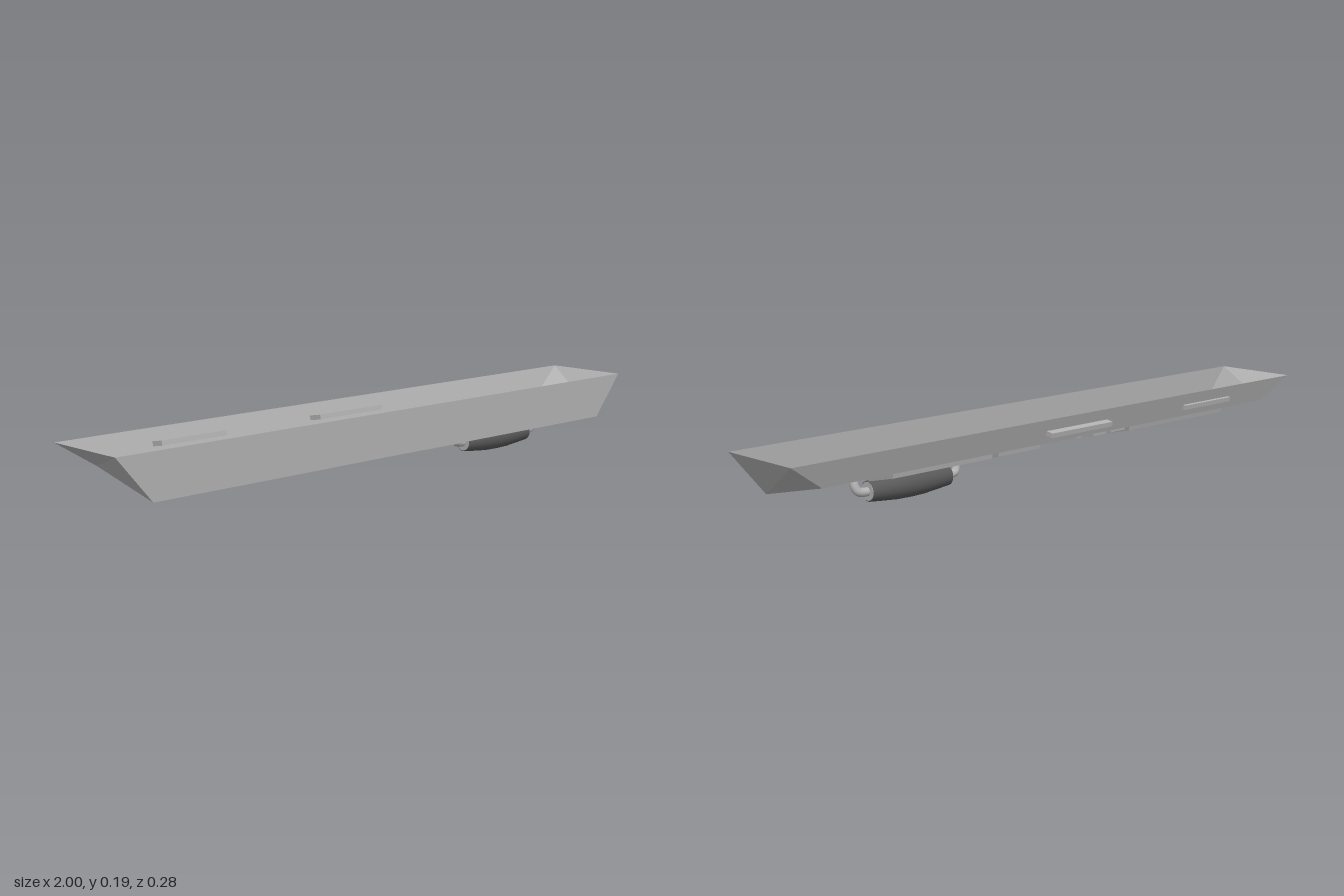
import * as THREE from 'three';

const shellGrey = new THREE.MeshStandardMaterial({ color: 0xb2b2b2, side: THREE.DoubleSide });
shellGrey.name = 'shell grey';
const rollerGrey = new THREE.MeshStandardMaterial({ color: 0x5a5a5a });
rollerGrey.name = 'dark roller grey';

// Height of the sloping floor at depth z
const floorY = z => 0.065 + (0.14 - z) * (0.057 / 0.245);

function addMesh(parent, name, geometry, material = shellGrey) {
  const mesh = new THREE.Mesh(geometry, material);
  mesh.name = name;
  parent.add(mesh);
  return mesh;
}

// Flat-shaded faces from a list of four-cornered polygons
function quads(list) {
  const pos = [];
  for (const [a, b, c, d] of list) pos.push(...a, ...b, ...c, ...a, ...c, ...d);
  const g = new THREE.BufferGeometry();
  g.setAttribute('position', new THREE.Float32BufferAttribute(pos, 3));
  g.computeVertexNormals();
  return g;
}

// Rectangle on the floor, inset by i and lowered by d
function ring([x0, x1, z0, z1], i, d) {
  return [[x0 + i, z1 - i], [x1 - i, z1 - i], [x1 - i, z0 + i], [x0 + i, z0 + i]]
    .map(([x, z]) => [x, floorY(z) - d, z]);
}

// Pressed-out rim around a recessed panel
function pressedPanel(rect, depth, rim) {
  const rings = [ring(rect, 0, 0), ring(rect, rim * 0.15, depth),
    ring(rect, rim * 0.7, depth), ring(rect, rim, depth * 0.25)];
  const faces = [rings[3]];
  for (let r = 0; r < 3; r++) {
    for (let k = 0; k < 4; k++) {
      const n = (k + 1) % 4;
      faces.push([rings[r][k], rings[r][n], rings[r + 1][n], rings[r + 1][k]]);
    }
  }
  return quads(faces);
}

export function createModel() {
  const model = new THREE.Group();
  model.name = 'overheadPanel';

  // Sloping walls of the open tray
  const top = [[-1, 0.195, 0.14], [1, 0.195, 0.14], [1, 0.195, -0.13], [-1, 0.195, -0.13]];
  const low = ring([-0.89, 0.89, -0.105, 0.14], 0, 0);
  ['frontWall', 'leftWall', 'backWall', 'rightWall'].forEach((name, k) => {
    const n = (k + 1) % 4;
    addMesh(model, name, quads([[low[k], low[n], top[n], top[k]]]));
  });

  // Screens and buttons: rectangle, depth and rim width
  const panels = [
    ['wideScreen', [-0.70, -0.26, -0.095, 0.122], 0.013, 0.022],
    ['squareScreen', [0.10, 0.265, -0.08, 0.122], 0.013, 0.018],
    ['longScreen', [0.30, 0.655, -0.095, 0.012], 0.013, 0.014],
  ];
  for (const z of [-0.072, -0.002, 0.072]) {
    panels.push(['innerButton', [-0.157, -0.102, z - 0.024, z + 0.024], 0.008, 0.007]);
    panels.push(['outerButton', [-0.24, -0.178, z - 0.024, z + 0.024], 0.007, 0.006]);
  }

  // Floor with an opening for every panel
  const outline = new THREE.Shape([[-0.89, -0.105], [0.89, -0.105], [0.89, 0.14], [-0.89, 0.14]]
    .map(p => new THREE.Vector2(...p)));
  for (const [name, rect, depth, rim] of panels) {
    const [x0, x1, z0, z1] = rect;
    outline.holes.push(new THREE.Path([[x0, z0], [x0, z1], [x1, z1], [x1, z0]]
      .map(p => new THREE.Vector2(...p))));
    addMesh(model, name, pressedPanel(rect, depth, rim));
  }
  const floor = new THREE.ShapeGeometry(outline);
  const p = floor.attributes.position;
  for (let i = 0; i < p.count; i++) p.setXYZ(i, p.getX(i), floorY(p.getY(i)), p.getY(i));
  floor.computeVertexNormals();
  addMesh(model, 'floor', floor);

  // Slabs passing through the back wall
  for (const [x, width, z, length] of [[-0.592, 0.22, -0.1, 0.052], [-0.012, 0.25, -0.105, 0.07]]) {
    const slab = addMesh(model, 'backSlab', new THREE.BoxGeometry(width, 0.014, length));
    slab.position.set(x, 0.156, z);
    slab.rotation.x = -0.18;
  }

  // Barrel roller under the floor
  const roller = new THREE.Group();
  roller.name = 'roller';
  roller.position.set(0.48, 0.042, 0.055);
  model.add(roller);
  const profile = [[0.026, -0.142], [0.029, -0.14], [0.034, -0.09], [0.038, -0.045], [0.039, 0],
    [0.038, 0.045], [0.034, 0.09], [0.029, 0.14], [0.026, 0.142]].map(q => new THREE.Vector2(...q));
  addMesh(roller, 'rollerBarrel', new THREE.LatheGeometry(profile, 32), rollerGrey).rotation.z = -Math.PI / 2;
  for (const s of [-1, 1]) {
    const cap = addMesh(roller, 'rollerCap', new THREE.CylinderGeometry(0.026, 0.026, 0.012, 32));
    cap.position.x = s * 0.137;
    cap.rotation.z = Math.PI / 2;
    // Bent tube arm from the floor to the hub
    const path = new THREE.CatmullRomCurve3([[0.13, 0, 0], [0.158, 0, 0], [0.173, 0.004, 0.002],
      [0.18, 0.016, 0.006], [0.181, 0.045, 0.015]].map(([x, y, z]) => new THREE.Vector3(s * x, y, z)));
    addMesh(roller, 'rollerArm', new THREE.TubeGeometry(path, 20, 0.0125, 14));
  }
  return model;
}
